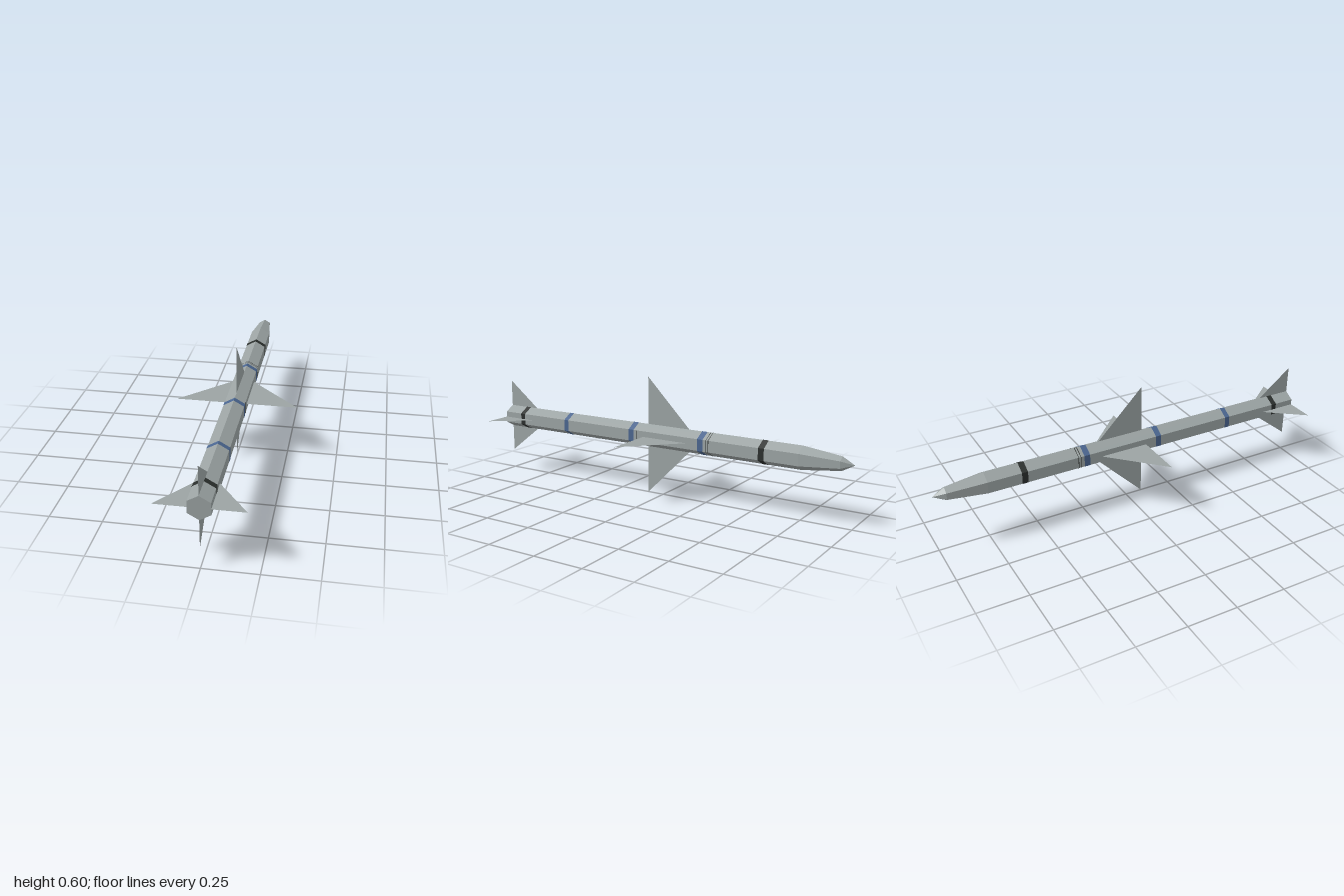
import * as THREE from 'three';

const AXIS_Y = 0.303; // height of the body axis
const R = 0.058;      // hexagon corner radius

const hullGrey = new THREE.MeshStandardMaterial({ color: 0x9ba3a3, side: THREE.DoubleSide });
hullGrey.name = 'hullGrey';
const bandBlue = new THREE.MeshStandardMaterial({ color: 0x4a658f, side: THREE.DoubleSide });
bandBlue.name = 'bandBlue';
const bandBlack = new THREE.MeshStandardMaterial({ color: 0x2a2e2c, side: THREE.DoubleSide });
bandBlack.name = 'bandBlack';

// Faceted six-sided shell along z from [radius, z] pairs, listed tail to nose
function hexShell(profile, start = 0, sides = 6) {
  const points = profile.map(([r, z]) => new THREE.Vector2(r, -z));
  const lathe = new THREE.LatheGeometry(points, sides, start * Math.PI / 3, sides * Math.PI / 3);
  const geometry = lathe.rotateX(-Math.PI / 2).toNonIndexed();
  geometry.computeVertexNormals();
  return geometry;
}

// Flat triangular fin pointing to +x, with a square trailing edge
function finGeometry(span, lead, trail) {
  const rootX = 0.04;
  const rootZ = lead + (trail - lead) * rootX / span;
  const shape = new THREE.Shape([
    new THREE.Vector2(rootX, -rootZ),
    new THREE.Vector2(rootX, -trail),
    new THREE.Vector2(span, -trail),
  ]);
  return new THREE.ShapeGeometry(shape).rotateX(-Math.PI / 2);
}

export function createModel() {
  const model = new THREE.Group();
  model.name = 'finnedRocket';
  const add = (name, geometry, material) => {
    const mesh = new THREE.Mesh(geometry, material);
    mesh.name = name;
    mesh.position.y = AXIS_Y;
    model.add(mesh);
    return mesh;
  };

  // Hexagonal body with closed tail and tapered nose
  add('body', hexShell([[0, 1], [R, 1], [R, -0.75], [0.034, -0.94], [0, -1]]), hullGrey);

  // Painted bands: centre z, width, colour
  const bands = [
    [-0.565, 0.03, bandBlack],
    [-0.24, 0.03, bandBlue],
    [0.16, 0.03, bandBlue],
    [0.577, 0.026, bandBlue],
    [0.88, 0.028, bandBlack],
  ];
  for (const [z, width, material] of bands) {
    add('band', hexShell([[R + 0.001, z + width / 2], [R + 0.001, z - width / 2]]), material);
  }

  // Narrow panel lines
  for (const z of [-0.286, -0.274]) {
    add('panelLine', hexShell([[R + 0.001, z + 0.0015], [R + 0.001, z - 0.0015]]), bandBlack);
  }
  add('sidePanelLine', hexShell([[R + 0.001, 0.128], [R + 0.001, 0.124]], 1, 2), bandBlack);

  // Four mid wings and four tail fins in a cross
  const wing = finGeometry(0.3, -0.21, 0.088);
  const tail = finGeometry(0.197, 0.745, 1);
  for (let i = 0; i < 4; i++) {
    add('midWing', wing, hullGrey).rotation.z = i * Math.PI / 2;
    add('tailFin', tail, hullGrey).rotation.z = i * Math.PI / 2;
  }
  return model;
}
